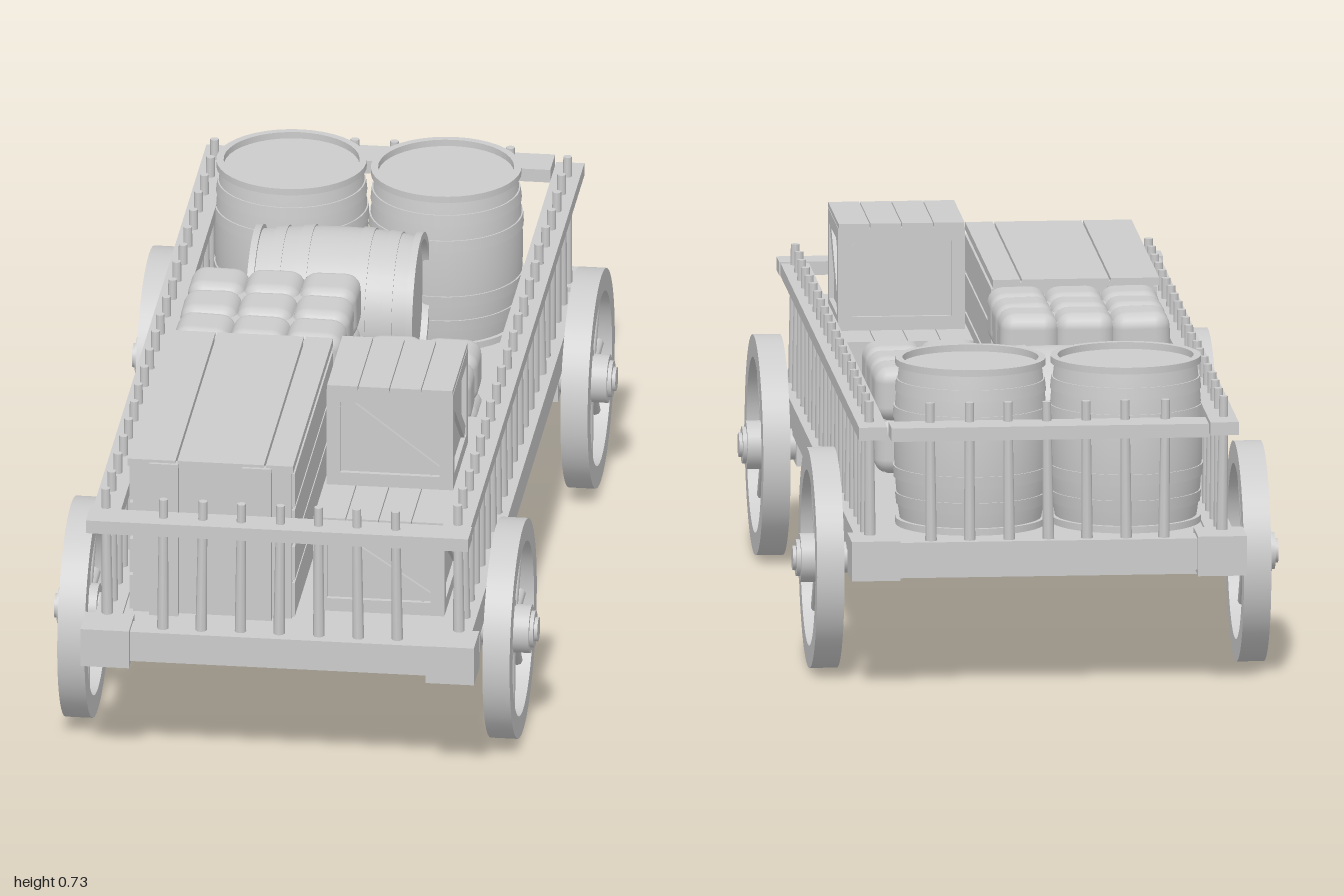
import * as THREE from 'three';
import { RoundedBoxGeometry } from 'three/addons/geometries/RoundedBoxGeometry.js';

const mat = new THREE.MeshStandardMaterial({ color: 0xcccccc });
const flat = new THREE.MeshStandardMaterial({ color: 0xcccccc, flatShading: true });

let seed = 7;
const rnd = () => ((seed = (seed * 16807) % 2147483647) / 2147483647) - 0.5;

function add(parent, name, geo, x = 0, y = 0, z = 0, m = mat) {
  const mesh = new THREE.Mesh(geo, m);
  mesh.name = name;
  mesh.position.set(x, y, z);
  parent.add(mesh);
  return mesh;
}
function group(parent, name, x = 0, y = 0, z = 0) {
  const g = new THREE.Group();
  g.name = name;
  g.position.set(x, y, z);
  parent.add(g);
  return g;
}
// box given by its min and max corners
function box(parent, name, x0, x1, y0, y1, z0, z1) {
  return add(parent, name, new THREE.BoxGeometry(x1 - x0, y1 - y0, z1 - z0),
    (x0 + x1) / 2, (y0 + y1) / 2, (z0 + z1) / 2, flat);
}
// lathe with hard edges: each profile segment is its own surface
function turned(parent, name, pts, sides = 40) {
  const g = group(parent, name);
  for (let i = 0; i < pts.length - 1; i++) {
    const seg = [pts[i], pts[i + 1]].map(p => new THREE.Vector2(p[0], p[1]));
    add(g, name + 'Face', new THREE.LatheGeometry(seg, sides));
  }
  return g;
}

// spoked wheel, built around y then turned so its outside faces +x
function makeWheel(parent, side, z) {
  const w = group(parent, 'wheel', side * 0.4375, 0.228, z);
  w.rotation.z = -side * Math.PI / 2;
  turned(w, 'rim', [[0.18, -0.028], [0.226, -0.028], [0.226, 0.028], [0.18, 0.028], [0.18, -0.028]], 48);
  turned(w, 'hub', [[0, -0.06], [0.032, -0.06], [0.032, -0.03], [0.05, -0.03], [0.05, 0.045],
    [0.038, 0.045], [0.038, 0.053], [0.025, 0.053], [0.025, 0.06], [0, 0.06]], 24);
  for (let i = 0; i < 8; i++) {
    const a = i * Math.PI / 4;
    const s = add(w, 'spoke', new THREE.CylinderGeometry(0.011, 0.013, 0.15, 8),
      Math.cos(a) * 0.115, 0, Math.sin(a) * 0.115);
    s.rotation.set(0, -a, -Math.PI / 2, 'YXZ');
  }
}

function makePost(parent, x, z) {
  const p = add(parent, 'railPost', new THREE.CylinderGeometry(0.009, 0.012, 0.3, 8), x, 0.45, z);
  p.rotation.set(rnd() * 0.03, 0, rnd() * 0.03);
}

// barrel centred on its own middle, axis along y
function makeBarrel(parent, x, y, z) {
  const b = group(parent, 'barrel', x, y, z);
  const H = 0.172, r = t => 0.157 - 0.014 * t * t;
  const side = [];
  for (let i = 0; i <= 12; i++) {
    const t = i / 6 - 1;
    side.push(new THREE.Vector2(r(t), t * H));
  }
  add(b, 'staves', new THREE.LatheGeometry(side, 40));
  for (const s of [-1, 1]) {
    const end = group(b, 'barrelEnd');
    if (s < 0) end.rotation.x = Math.PI;
    turned(end, 'rim', [[0.144, H - 0.014], [0.154, H - 0.014], [0.154, H], [0.139, H],
      [0.139, H - 0.014], [0, H - 0.014]]);
    for (const t of [0.36, 0.68]) {
      const a = r(t - 0.07) + 0.003, c = r(t + 0.07) + 0.003;
      turned(end, 'hoop', [[a - 0.004, (t - 0.07) * H], [a, (t - 0.07) * H],
        [c, (t + 0.07) * H], [c - 0.004, (t + 0.07) * H]]);
    }
  }
  return b;
}

// puffy tied bale made of swollen cells around a core
function makeBale(parent, x0, x1, y0, y1, z0, z1, nx, ny, nz) {
  const b = group(parent, 'bale');
  const dx = (x1 - x0) / nx, dy = (y1 - y0) / ny, dz = (z1 - z0) / nz;
  for (let i = 0; i < nx; i++) for (let j = 0; j < ny; j++) for (let k = 0; k < nz; k++) {
    const c = add(b, 'baleCell', new RoundedBoxGeometry(dx + 0.006, dy + 0.006, dz + 0.006, 3, 0.032),
      x0 + (i + 0.5) * dx, y0 + (j + 0.5) * dy, z0 + (k + 0.5) * dz);
    c.rotation.set(rnd() * 0.05, rnd() * 0.05, rnd() * 0.05);
  }
  box(b, 'baleCore', x0 + 0.016, x1 - 0.016, y0, y1 - 0.016, z0 + 0.016, z1 - 0.016);
}

// framed crate with a diagonal brace on each side and a planked lid
function makeCrate(parent, x0, x1, y0, y1, z0, z1) {
  const c = group(parent, 'crate', (x0 + x1) / 2, (y0 + y1) / 2, (z0 + z1) / 2);
  const W = x1 - x0, H = y1 - y0, D = z1 - z0, t = 0.01, f = 0.028;
  box(c, 'crateBody', -W / 2 + t, W / 2 - t, -H / 2, H / 2 - t, -D / 2 + t, D / 2 - t);
  for (let s = 0; s < 4; s++) {
    const w = (s % 2 ? D : W) / 2, d = (s % 2 ? W : D) / 2;
    const panel = group(c, 'crateSide');
    panel.rotation.y = s * Math.PI / 2;
    for (const e of [-1, 1]) {
      box(panel, 'stile', e > 0 ? w - f : -w, e > 0 ? w : f - w, -H / 2, H / 2 - t, d - t, d);
      const y = e * (H / 2 - f / 2 - t / 2) - t / 2;
      box(panel, 'stileRail', f - w, w - f, y - f / 2, y + f / 2, d - t, d);
    }
    const bw = 2 * (w - f), bh = H - 2 * f - t;
    const brace = box(panel, 'brace', -Math.hypot(bw, bh) / 2 + 0.01, Math.hypot(bw, bh) / 2 - 0.01,
      -0.013, 0.013, d - t, d - 0.002);
    brace.rotation.z = -Math.atan2(bh, bw);
  }
  const n = 4, p = W / n;
  for (let i = 0; i < n; i++)
    box(c, 'lidPlank', -W / 2 + i * p + 0.001, -W / 2 + (i + 1) * p - 0.001, H / 2 - t, H / 2,
      -D / 2 - 0.003, D / 2 + 0.003);
}

export function createModel() {
  const cart = new THREE.Group();
  cart.name = 'cargoWagon';

  // bed and running gear
  const bed = group(cart, 'bed');
  box(bed, 'floor', -0.34, 0.34, 0.275, 0.305, -0.94, 0.95);
  for (const s of [-1, 1]) {
    box(bed, 'sideBeam', s * 0.36 - 0.028, s * 0.36 + 0.028, 0.25, 0.312, -0.93, 0.95);
    for (const [z0, z1] of [[-0.98, -0.87], [0.9, 0.99]])
      box(bed, 'cornerBlock', s * 0.355 - 0.05, s * 0.355 + 0.05, 0.24, 0.322, z0, z1);
    for (const z of [0.66, -0.632]) makeWheel(cart, s, z);
  }
  box(bed, 'frontBeam', -0.34, 0.34, 0.25, 0.315, 0.92, 0.975);
  box(bed, 'rearBeam', -0.34, 0.34, 0.25, 0.315, -0.96, -0.9);
  for (const z of [0.66, -0.632]) box(bed, 'axleBeam', -0.382, 0.382, 0.19, 0.252, z - 0.045, z + 0.045);

  // railing
  const rail = group(cart, 'railing');
  for (const s of [-1, 1]) {
    box(rail, 'sideRail', s * 0.36 - 0.029, s * 0.36 + 0.029, 0.53, 0.557, -0.97, 0.97);
    for (let i = 0; i < 21; i++) makePost(rail, s * 0.362, -0.9 + i * 0.09);
  }
  box(rail, 'frontRail', -0.395, 0.392, 0.532, 0.56, 0.915, 0.98);
  box(rail, 'rearRail', -0.325, 0.325, 0.532, 0.56, -1, -0.92);
  for (const z of [0.945, -0.935])
    for (let i = -3; i <= 3; i++) makePost(rail, i * 0.08, z);

  // cargo: barrels
  makeBarrel(cart, -0.18, 0.48, -0.7);
  makeBarrel(cart, 0.138, 0.48, -0.7);
  makeBarrel(cart, -0.05, 0.462, -0.415).rotation.z = Math.PI / 2;

  // cargo: bales
  makeBale(cart, -0.315, 0.028, 0.308, 0.638, -0.178, 0.175, 3, 3, 3);
  makeBale(cart, 0.05, 0.282, 0.308, 0.525, -0.133, 0.207, 2, 2, 3);

  // cargo: long chest with planked lid and battened ends
  const chest = group(cart, 'longChest');
  box(chest, 'chestBody', -0.315, 0.012, 0.305, 0.63, 0.205, 0.845);
  for (const [a, b] of [[-0.325, -0.226], [-0.222, -0.044], [-0.04, 0.016]])
    box(chest, 'chestLidPlank', a, b, 0.632, 0.648, 0.19, 0.855);
  for (const x of [-0.25, -0.058])
    for (const z of [0.2, 0.852])
      box(chest, 'chestBatten', x - 0.03, x + 0.03, 0.305, 0.642, z - 0.01, z + 0.01);
  for (let i = 0; i < 4; i++)
    box(chest, 'chestSidePlank', -0.322, 0.018, 0.309 + i * 0.081, 0.383 + i * 0.081, 0.208, 0.842);

  // cargo: crates
  makeCrate(cart, 0.05, 0.32, 0.305, 0.513, 0.53, 0.795);
  makeCrate(cart, 0.05, 0.32, 0.305, 0.513, 0.25, 0.515);
  makeCrate(cart, 0.057, 0.317, 0.513, 0.735, 0.378, 0.627);

  return cart;
}
